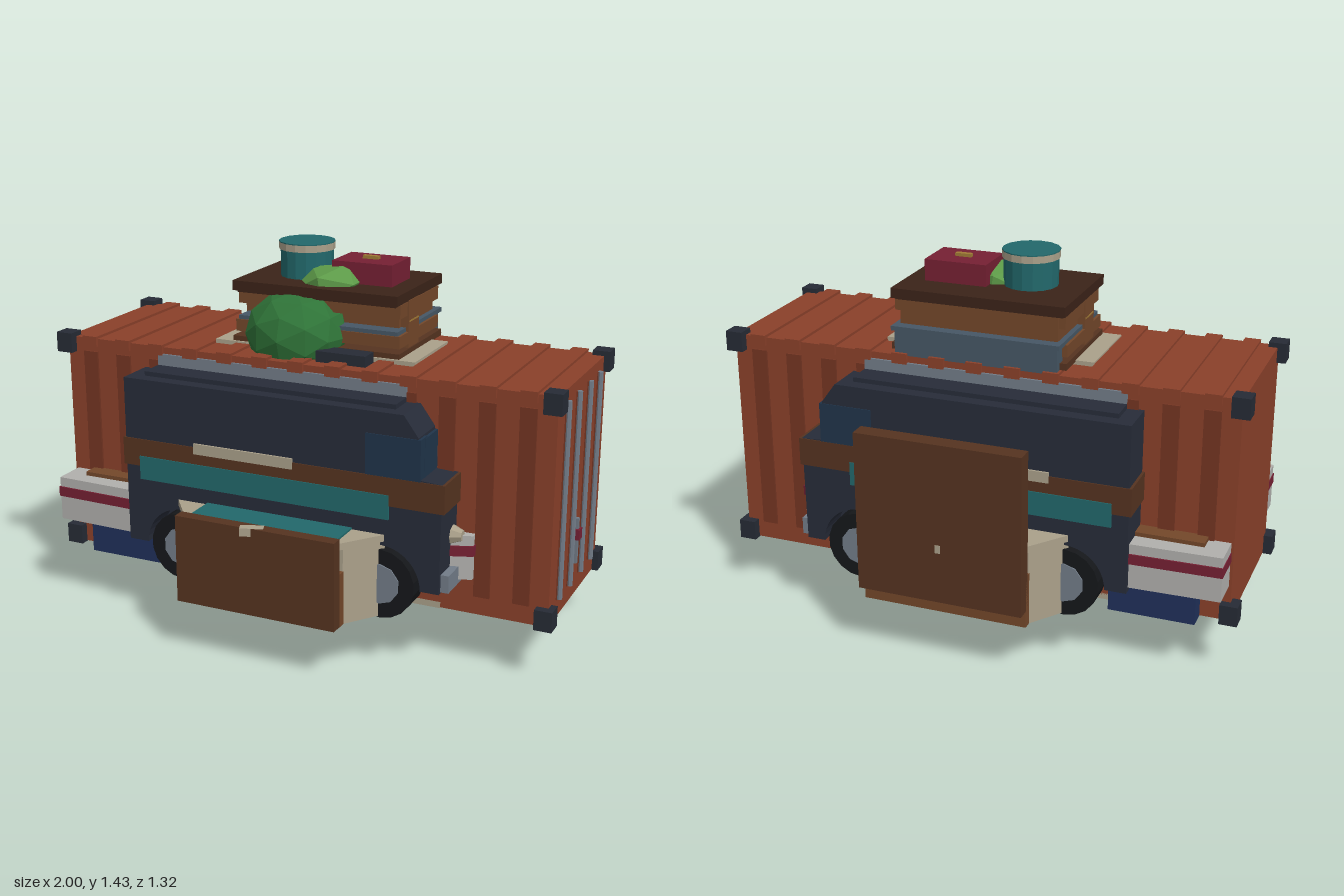
import * as THREE from 'three';

const C = {
  rust: 0x8a402a, rib: 0x743522, iron: 0x262b35, body: 0x272c39, glass: 0x20344a, brown: 0x553320,
  wood: 0x73472a, lid: 0x3b2318, tan: 0xaaa08a, white: 0xb0afac, red: 0x752033, teal: 0x22686b,
  navy: 0x20305a, steel: 0x727c88, slate: 0x465765, black: 0x15171a, gold: 0xa07a35,
  bush: 0x2f7338, leaf: 0x5d9a48, rug: 0x35141a,
};
const mats = {};
const mat = (c) => (mats[c] ??= new THREE.MeshStandardMaterial({ color: C[c], flatShading: true }));

export function createModel() {
  const root = new THREE.Group();

  const add = (name, geo, color, x = 0, y = 0, z = 0) => {
    const m = new THREE.Mesh(geo, mat(color));
    m.name = name;
    m.position.set(x, y, z);
    root.add(m);
    return m;
  };
  // Box given by its extents on each axis
  const box = (name, color, x0, x1, y0, y1, z0, z1) =>
    add(name, new THREE.BoxGeometry(x1 - x0, y1 - y0, Math.abs(z1 - z0)), color,
      (x0 + x1) / 2, (y0 + y1) / 2, (z0 + z1) / 2);
  // Hollow box, open below, centred on z = 0
  const shell = (name, color, x0, x1, y0, y1, w, t) => {
    box(name + 'Top', color, x0, x1, y1 - t, y1, -w, w);
    for (const s of [-1, 1]) box(name + 'Side', color, x0, x1, y0, y1 - t, s * w, s * (w - t));
    box(name + 'End', color, x0, x0 + t, y0, y1 - t, t - w, w - t);
    box(name + 'End', color, x1 - t, x1, y0, y1 - t, t - w, w - t);
  };
  // Flat outline in x and z, given a bottom and a top height, with an optional hole
  const slab = (name, color, pts, y0, y1, hole) => {
    const v = (list) => list.map((p) => new THREE.Vector2(...p));
    const shape = new THREE.Shape(v(pts));
    if (hole) shape.holes.push(new THREE.Path(v(hole)));
    const g = new THREE.ExtrudeGeometry(shape, { depth: y1 - y0, bevelEnabled: false });
    g.rotateX(Math.PI / 2);
    return add(name, g, color, 0, y1, 0);
  };

  // Shipping container, open below at both ends, with ribs and corner castings
  shell('container', 'rust', -0.97, 0.97, 0.21, 1.05, 0.3, 0.02);
  box('rearSill', 'rust', -0.96, -0.86, 0.21, 0.24, -0.29, 0.29);
  box('frontSill', 'rust', 0.88, 0.96, 0.21, 0.24, -0.29, 0.29);
  for (let i = 0; i < 13; i++) {
    const x = -0.87 + i * 0.145;
    box('roofRib', 'rust', x - 0.03, x + 0.03, 1.02, 1.06, -0.312, 0.312);
    for (const s of [-1, 1])
      box('sideRib', 'rib', x - 0.03, x + 0.03, 0.28, 1.0, s * 0.29, s * 0.308);
  }
  for (const x of [-0.97, 0.96]) for (const y of [0.245, 1.03]) for (const z of [-0.3, 0.3])
    add('cornerCasting', new THREE.BoxGeometry(0.066, 0.076, 0.066), 'iron', x, y, z);

  // Door end: lock rods, handle and lock
  for (const z of [-0.2, -0.07, 0.07, 0.2]) {
    add('lockRod', new THREE.CylinderGeometry(0.011, 0.011, 0.73, 8), 'steel', 0.978, 0.645, z);
    box('rodBacking', 'rib', 0.96, 0.973, 0.28, 1.01, z - 0.016, z + 0.016);
  }
  box('doorHandle', 'steel', 0.965, 0.982, 0.34, 0.515, -0.007, 0.007);
  box('doorLock', 'red', 0.965, 0.99, 0.435, 0.475, -0.018, 0.018);

  // Van body cut by two wheel arches
  const p = new THREE.Shape();
  p.moveTo(-0.63, 0.33);
  p.lineTo(-0.55, 0.33);
  p.absarc(-0.4, 0.33, 0.15, Math.PI, 0, true);
  p.lineTo(-0.25, 0.21);
  p.lineTo(0.25, 0.21);
  p.lineTo(0.25, 0.33);
  p.absarc(0.4, 0.33, 0.15, Math.PI, 0, true);
  [[0.62, 0.33], [0.625, 0.735], [0.54, 0.74], [0.535, 0.89], [0.48, 0.965], [-0.63, 0.965]]
    .forEach((q) => p.lineTo(...q));
  add('vanBody', new THREE.ExtrudeGeometry(p, { depth: 0.91, bevelEnabled: false, curveSegments: 10 }),
    'body', 0, 0, -0.455);
  box('vanRoof', 'body', -0.57, 0.43, 0.95, 0.982, -0.405, 0.405);
  box('roofRail', 'steel', -0.57, 0.43, 0.98, 1.025, -0.309, 0.309);
  box('windscreen', 'glass', 0.5, 0.546, 0.735, 0.88, -0.42, 0.42);

  // Parts found on both long sides
  for (const s of [-1, 1]) {
    box('waistBand', 'brown', -0.64, 0.635, 0.63, 0.735, s * 0.3, s * 0.459);
    box('tealPanel', 'teal', -0.57, 0.43, 0.58, 0.67, s * 0.4, s * 0.463);
    box('trimBar', 'tan', -0.34, 0.06, 0.71, 0.75, s * 0.4, s * 0.463);
    box('sideWindow', 'glass', 0.34, 0.545, 0.72, 0.885, s * 0.4, s * 0.458);

    // Wheels in dark arches
    for (const x of [-0.4, 0.4]) {
      box('archLiner', 'body', x - 0.15, x + 0.15, 0.33, 0.48, s * 0.3, s * 0.34);
      add('tyre', new THREE.CylinderGeometry(0.13, 0.13, 0.1, 18).rotateX(Math.PI / 2), 'black', x, 0.335, s * 0.41);
      add('hub', new THREE.CylinderGeometry(0.075, 0.075, 0.11, 10).rotateX(Math.PI / 2), 'steel', x, 0.335, s * 0.41);
    }

    // Striped bumpers, headlight and luggage plank
    slab('rearBumper', 'white', [[-0.96, s * 0.29], [-0.96, s * 0.425], [-0.62, s * 0.435], [-0.62, s * 0.29]], 0.345, 0.515);
    slab('rearStripe', 'red', [[-0.963, s * 0.29], [-0.963, s * 0.431], [-0.62, s * 0.441], [-0.62, s * 0.29]], 0.44, 0.478);
    box('plank', 'wood', -0.88, -0.6, 0.5, 0.53, s * 0.29, s * 0.365);
    slab('frontBumper', 'white', [[0.6, s * 0.29], [0.6, s * 0.36], [0.695, s * 0.325], [0.695, s * 0.29]], 0.35, 0.515);
    slab('frontStripe', 'red', [[0.6, s * 0.29], [0.6, s * 0.366], [0.7, s * 0.33], [0.7, s * 0.29]], 0.44, 0.478);
    box('bumperBlock', 'steel', 0.6, 0.65, 0.335, 0.4, s * 0.31, s * 0.44);
    add('headlight', new THREE.CylinderGeometry(0.02, 0.037, 0.04, 8).rotateZ(-Math.PI / 2), 'tan', 0.64, 0.515, s * 0.335);

    // Flared cabinet, hollow below, with a drawer
    slab('cabinet', 'tan', [[-0.41, s * 0.44], [-0.31, s * 0.575], [0.31, s * 0.575], [0.41, s * 0.44]], 0.21, 0.5,
      [[-0.37, s * 0.456], [-0.29, s * 0.545], [0.29, s * 0.545], [0.37, s * 0.456]]);
    slab('cabinetTop', 'tan', [[-0.425, s * 0.44], [-0.305, s * 0.595], [0.305, s * 0.595], [0.425, s * 0.44]], 0.495, 0.52);
    box('drawer', 'wood', -0.312, 0.312, 0.21, 0.41, s * 0.55, s * 0.606);
    box('drawerBase', s > 0 ? 'teal' : 'navy', -0.3, 0.3, 0.33, 0.35, s * 0.45, s * 0.55);
  }

  // Front drawer face, bench cushion and latch
  box('drawerFace', 'brown', -0.312, 0.312, 0.212, 0.542, 0.605, 0.652);
  box('cushion', 'teal', -0.29, 0.29, 0.5, 0.527, 0.45, 0.607);
  add('latch', new THREE.BoxGeometry(0.085, 0.03, 0.035), 'tan', -0.012, 0.528, 0.635).rotation.y = 0.35;

  // Tall back panel, its lining and the shelf box
  box('backPanel', 'brown', -0.312, 0.312, 0.275, 0.88, -0.655, -0.59);
  box('backLining', 'red', -0.25, 0.25, 0.4, 0.79, -0.59, -0.578);
  box('shelfBox', 'white', -0.21, 0.205, 0.515, 0.575, -0.525, -0.44);
  box('backKnob', 'tan', -0.01, 0.01, 0.47, 0.5, -0.658, -0.65);
  add('backLatch', new THREE.BoxGeometry(0.07, 0.02, 0.03), 'tan', -0.01, 0.535, -0.57).rotation.y = 0.35;

  // Underside: hollow lockers, floor and rug
  shell('rearLocker', 'navy', -0.86, -0.54, 0.207, 0.35, 0.37, 0.02);
  shell('frontLocker', 'navy', 0.57, 0.88, 0.205, 0.35, 0.26, 0.015);
  box('floor', 'tan', -0.54, 0.57, 0.206, 0.23, -0.3, 0.3);
  box('floorFrame', 'wood', -0.46, 0.46, 0.203, 0.22, -0.25, 0.25);
  box('rug', 'rug', -0.42, 0.42, 0.2, 0.21, -0.215, 0.215);
  for (const k of [0.55, 0.75, 0.93]) for (const s of [-1, 1]) {
    box('rugLine', 'gold', -0.42 * k, 0.42 * k, 0.198, 0.202, s * 0.215 * k - 0.003, s * 0.215 * k + 0.003);
    box('rugLine', 'gold', s * 0.42 * k - 0.003, s * 0.42 * k + 0.003, 0.198, 0.202, -0.215 * k, 0.215 * k);
  }

  // Stand with foot, lens and tilted arm
  box('foot', 'black', -0.046, 0.046, 0, 0.047, -0.05, 0.085);
  box('column', 'iron', -0.038, 0.038, 0.04, 0.21, -0.04, 0.045);
  box('columnCollar', 'iron', -0.05, 0.05, 0.165, 0.21, -0.03, 0.08);
  const arm = new THREE.Group();
  arm.name = 'tiltedArm';
  arm.position.set(0, 0.168, 0.175);
  arm.rotation.x = 0.29;
  root.add(arm);
  arm.add(add('armBody', new THREE.BoxGeometry(0.075, 0.06, 0.19), 'white'));
  arm.add(add('armTip', new THREE.BoxGeometry(0.085, 0.06, 0.028), 'black', 0, 0, 0.102));
  arm.add(add('lens', new THREE.CylinderGeometry(0.022, 0.022, 0.01, 12).rotateX(Math.PI / 2), 'teal', 0, 0, 0.114));

  // Roof lookout: box walls, slate shelf, pads and lid
  box('lookout', 'wood', -0.3, 0.3, 1.05, 1.26, -0.265, 0.07);
  box('lookoutBand', 'wood', -0.33, 0.33, 1.1, 1.145, -0.245, 0.135);
  box('lookoutUpperBand', 'wood', -0.325, 0.325, 1.205, 1.255, -0.255, 0.12);
  for (const x of [-0.31, 0.31]) {
    box('lookoutPost', 'wood', x - 0.02, x + 0.02, 1.06, 1.26, -0.05, 0.05);
    box('windowTrim', 'gold', x - 0.021, x + 0.021, 1.18, 1.186, -0.045, 0.045);
  }
  box('slatePanel', 'slate', -0.31, 0.31, 1.05, 1.15, -0.3, -0.24);
  box('slateShelf', 'slate', -0.32, 0.32, 1.143, 1.16, -0.308, 0.13);
  box('roofPads', 'tan', -0.405, 0.4, 1.05, 1.066, -0.17, 0.16);
  box('sill', 'brown', -0.335, 0.335, 1.06, 1.085, -0.27, 0.15);
  box('tray', 'iron', 0.05, 0.245, 1.05, 1.09, 0.17, 0.245);
  box('lidRim', 'lid', -0.32, 0.315, 1.25, 1.27, -0.27, 0.14);
  box('lid', 'lid', -0.333, 0.327, 1.258, 1.295, -0.287, 0.153);

  // Bushes
  const bush = add('bush', new THREE.IcosahedronGeometry(1, 1), 'bush', -0.085, 1.115, 0.12);
  bush.scale.set(0.198, 0.16, 0.168);
  const leaf = add('smallBush', new THREE.IcosahedronGeometry(1, 0), 'leaf', 0.005, 1.285, 0);
  leaf.scale.set(0.14, 0.08, 0.14);
  leaf.rotation.z = 0.15;

  // Barrel and chest on the lid
  add('barrel', new THREE.CylinderGeometry(0.1, 0.1, 0.125, 16), 'teal', -0.125, 1.35, -0.055);
  add('barrelRim', new THREE.CylinderGeometry(0.106, 0.106, 0.026, 16), 'tan', -0.125, 1.41, -0.055);
  add('barrelTop', new THREE.CylinderGeometry(0.106, 0.106, 0.004, 16), 'teal', -0.125, 1.425, -0.055);
  box('chest', 'red', 0.012, 0.25, 1.29, 1.375, -0.155, 0.02);
  box('chestClasp', 'gold', 0.1, 0.162, 1.37, 1.387, -0.078, -0.058);

  return root;
}
